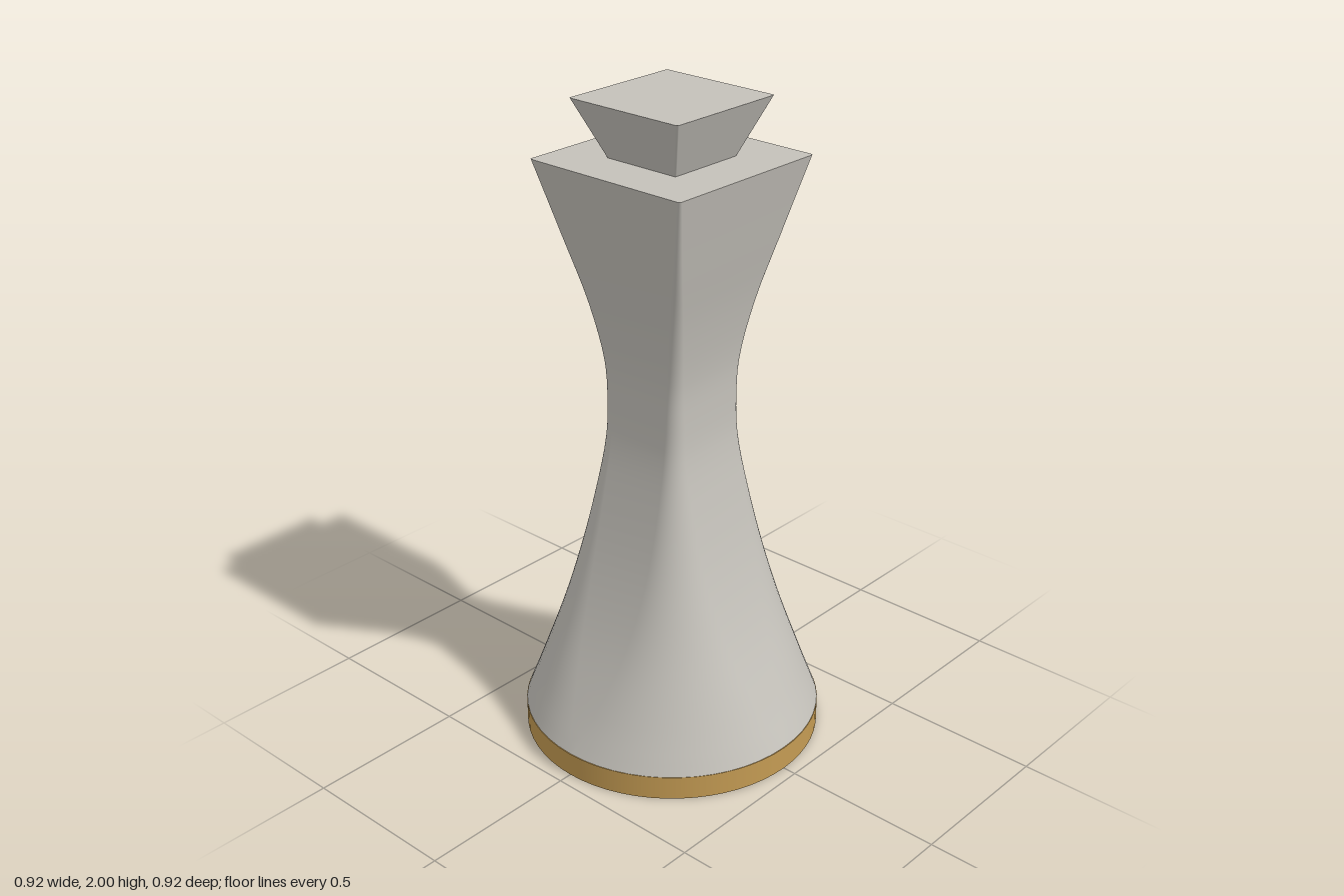
import * as THREE from 'three';

const CORNER_STEPS = 14;

// Rounded-square ring: half = half width, round = corner radius as a share of half (1 = circle)
function ring(half, round, y) {
  const r = half * round, points = [];
  for (let q = 0; q < 4; q++) {
    const mid = (q + 0.5) * Math.PI / 2;
    const cx = Math.sign(Math.cos(mid)) * (half - r), cz = Math.sign(Math.sin(mid)) * (half - r);
    for (let k = 0; k <= CORNER_STEPS; k++) {
      const a = (q + k / CORNER_STEPS) * Math.PI / 2;
      points.push([cx + r * Math.cos(a), y, cz + r * Math.sin(a)]);
    }
  }
  return points;
}

// Skin through stacked rings, with separate flat caps for crisp rims
function loft(rings) {
  const n = rings[0].length, pos = rings.flat(2), idx = [];
  for (let i = 0; i < rings.length - 1; i++) {
    for (let j = 0; j < n; j++) {
      const a = i * n + j, b = i * n + (j + 1) % n, c = a + n, d = b + n;
      idx.push(a, c, b, b, c, d);
    }
  }
  for (const top of [false, true]) {
    const loop = rings[top ? rings.length - 1 : 0];
    const centre = pos.length / 3;
    pos.push(0, loop[0][1], 0, ...loop.flat());
    for (let j = 0; j < n; j++) {
      const p = centre + 1 + j, q = centre + 1 + (j + 1) % n;
      idx.push(centre, top ? q : p, top ? p : q);
    }
  }
  const geo = new THREE.BufferGeometry();
  geo.setAttribute('position', new THREE.Float32BufferAttribute(pos, 3));
  geo.setIndex(idx);
  geo.computeVertexNormals();
  return geo;
}

export function createModel() {
  const group = new THREE.Group();
  const stone = new THREE.MeshStandardMaterial({ color: 0xc4c1ba });
  stone.name = 'warm grey';
  const gold = new THREE.MeshStandardMaterial({ color: 0xc49b53 });
  gold.name = 'gold';

  const add = (name, geometry, material) => {
    const mesh = new THREE.Mesh(geometry, material);
    mesh.name = name;
    group.add(mesh);
    return mesh;
  };

  // Round base disc
  add('base', new THREE.CylinderGeometry(0.458, 0.458, 0.075, 64), gold).position.y = 0.0375;

  // Waisted body, round at the foot and square at the head: [half width, height, corner rounding]
  const profile = [
    [0.455, 0.075, 0.99], [0.392, 0.2, 0.89], [0.302, 0.4, 0.71], [0.234, 0.6, 0.55],
    [0.184, 0.8, 0.42], [0.151, 0.98, 0.31], [0.145, 1.1, 0.27], [0.148, 1.22, 0.23],
    [0.176, 1.4, 0.16], [0.222, 1.6, 0.08], [0.277, 1.83, 0.03],
  ].map((p) => new THREE.Vector3(...p));
  const sections = new THREE.CatmullRomCurve3(profile).getPoints(40);
  add('body', loft(sections.map((p) => ring(p.x, p.z, p.y))), stone);

  // Flared square finial
  add('finial', loft([ring(0.127, 0.04, 1.83), ring(0.198, 0.03, 2)]), stone);

  return group;
}
